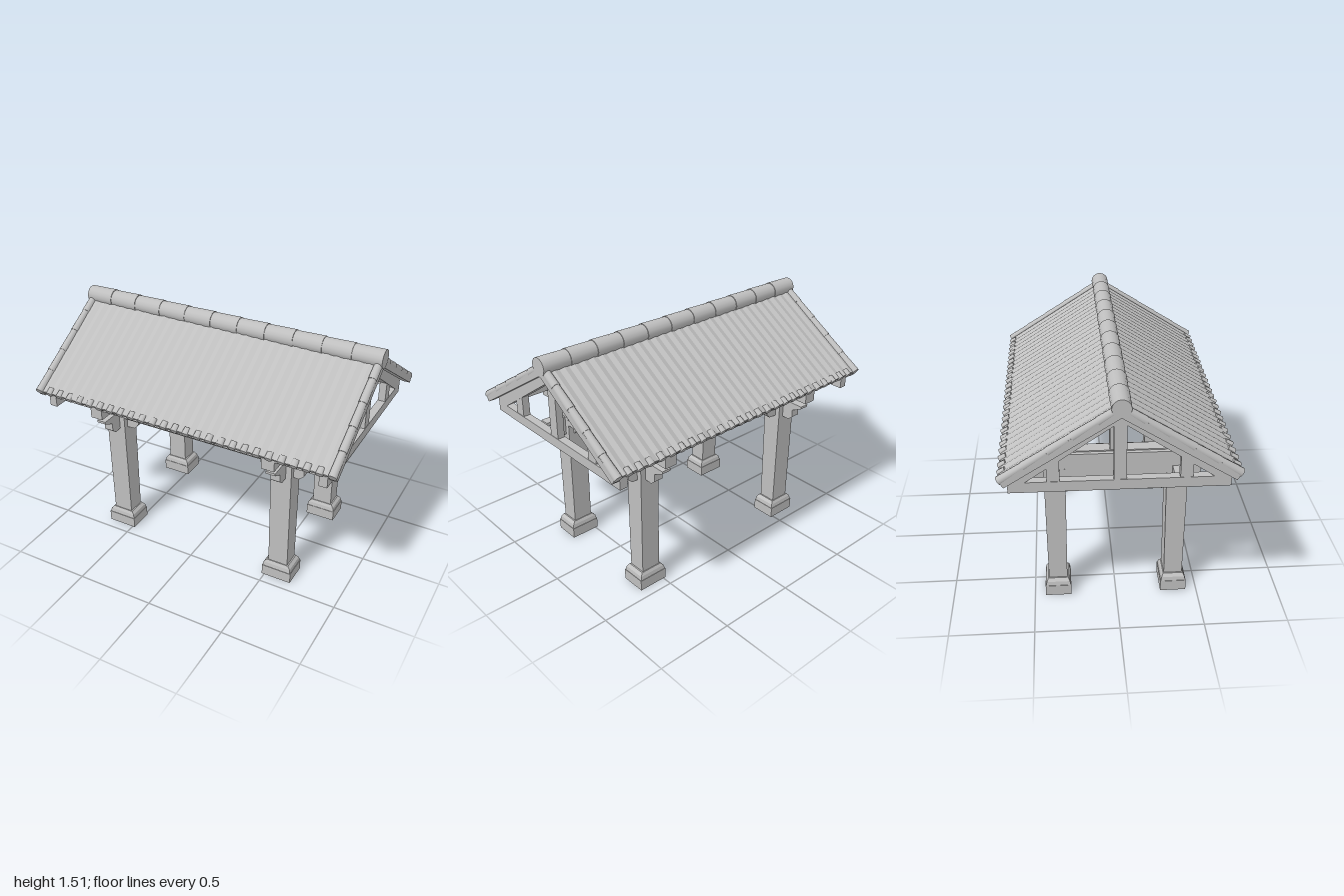
import * as THREE from 'three';

const stone = new THREE.MeshStandardMaterial({ color: 0xbfbfbf });
stone.name = 'pale grey';
const SLOPE = 0.635, ANGLE = Math.atan(SLOPE), APEX = 1.47, RUN = 0.775;

function add(parent, name, geometry, x = 0, y = 0, z = 0) {
  const mesh = new THREE.Mesh(geometry, stone);
  mesh.name = name;
  mesh.position.set(x, y, z);
  parent.add(mesh);
  return mesh;
}

// Box given by its centre in x and z and its bottom and top heights
function block(parent, name, w, d, y0, y1, x = 0, z = 0) {
  return add(parent, name, new THREE.BoxGeometry(w, y1 - y0, d), x, (y0 + y1) / 2, z);
}

// Box whose top face has a different size from its bottom face
function taperedBlock(w0, d0, w1, d1, h) {
  const g = new THREE.BoxGeometry(1, h, 1);
  const p = g.attributes.position;
  for (let i = 0; i < p.count; i++) {
    const top = p.getY(i) > 0;
    p.setXYZ(i, p.getX(i) * (top ? w1 : w0), p.getY(i) + h / 2, p.getZ(i) * (top ? d1 : d0));
  }
  g.computeVertexNormals();
  return g;
}

function extrude(points, depth, centred = true) {
  const g = new THREE.ExtrudeGeometry(new THREE.Shape(points.map(p => new THREE.Vector2(...p))),
    { depth, bevelEnabled: false });
  return centred ? g.translate(0, 0, -depth / 2) : g;
}

// Two-tiered bracket arm, longer on the outward (+x) side
function bracketGeometry(inner, outer, lowerOuter) {
  return extrude([
    [-inner, 0.89], [-inner, 0.81], [-inner + 0.03, 0.775], [lowerOuter - 0.03, 0.765],
    [lowerOuter, 0.79], [lowerOuter, 0.84], [outer - 0.05, 0.85], [outer, 0.875], [outer, 0.89],
  ], 0.06);
}

function column(sx, sz) {
  const g = new THREE.Group();
  g.name = 'column';
  g.position.set(0.58 * sx, 0, 0.355 * sz);
  block(g, 'plinth', 0.194, 0.158, 0, 0.07);
  add(g, 'plinthMoulding', taperedBlock(0.188, 0.152, 0.178, 0.142, 0.025), 0, 0.07);
  add(g, 'plinthCap', taperedBlock(0.178, 0.142, 0.145, 0.122, 0.018), 0, 0.095);
  add(g, 'shaft', taperedBlock(0.128, 0.112, 0.132, 0.126, 0.78), 0, 0.11);
  const armX = add(g, 'sideBracket', bracketGeometry(0.15, 0.2, 0.13));
  armX.rotation.y = sx > 0 ? 0 : Math.PI;
  const armZ = add(g, 'frontBracket', bracketGeometry(0.1, 0.21, 0.14));
  armZ.rotation.y = -sz * Math.PI / 2;
  return g;
}

// Open gable frame: tie beam, king post, queen posts and rafters
function truss(x, width) {
  const g = new THREE.Group();
  g.name = 'truss';
  g.position.x = x;
  block(g, 'tieBeam', width, 1.21, 0.93, 0.992);
  block(g, 'kingPost', width * 0.9, 0.07, 0.99, 1.36);
  for (const s of [-1, 1]) {
    block(g, 'queenPost', width * 0.9, 0.07, 0.99, 1.15, 0, 0.36 * s);
    const r = add(g, 'rafter', extrude([
      [0, 1.415], [0.605, 1.028], [0.605, 0.99], [0.515, 0.99], [0, 1.342],
    ], width));
    r.rotation.y = -s * Math.PI / 2;
  }
  return g;
}

// One roof slope: local z runs down the slope and local y points away from it
function roofSlope() {
  const half = new THREE.Group();
  half.name = 'roofSlope';
  const s = new THREE.Group();
  s.position.y = APEX;
  s.rotation.x = ANGLE;
  half.add(s);

  // Gently corrugated covering
  const profile = [[-0.96, -0.032]];
  const ribs = 30, steps = ribs * 4;
  profile.push([0.96, -0.032]);
  for (let i = 0; i <= steps; i++) {
    profile.push([0.96 - 1.92 * i / steps, -0.014 - 0.004 * Math.cos(i * Math.PI / 2)]);
  }
  add(s, 'roofCovering', extrude(profile, RUN, false));

  // Tile caps along the eave
  for (let i = 0; i < 25; i++) {
    const cap = add(s, 'eaveTile', new THREE.CylinderGeometry(0.02, 0.018, 0.045, 10),
      -0.9 + 0.075 * i, -0.021, RUN - 0.016);
    cap.rotation.x = Math.PI / 2;
    cap.scale.x = 1.15;
  }

  // Verge boards with overlapping round tiles
  for (const sx of [-1, 1]) {
    add(s, 'vergeBoard', new THREE.BoxGeometry(0.046, 0.046, RUN), 0.974 * sx, -0.04, RUN / 2);
    for (let i = 0; i < 5; i++) {
      const tile = add(s, 'vergeTile', new THREE.CylinderGeometry(0.026, 0.023, 0.158, 12),
        0.974 * sx, -0.02, 0.078 + i * 0.1555);
      tile.rotation.x = Math.PI / 2;
    }
  }

  // Round rafter tails below the eave
  for (const x of [0.08, 0.23, 0.43, 0.54, 0.69, 0.91]) {
    for (const sx of [-1, 1]) {
      const tail = add(s, 'rafterTail', new THREE.CylinderGeometry(0.022, 0.022, 0.32, 10),
        x * sx, -0.053, RUN - 0.17);
      tail.rotation.x = Math.PI / 2;
      tail.scale.x = 1.2;
    }
  }
  const middle = add(s, 'rafterTail', new THREE.CylinderGeometry(0.022, 0.022, 0.32, 10), 0, -0.053, RUN - 0.17);
  middle.rotation.x = Math.PI / 2;

  // Purlin under the eave
  block(half, 'eavePurlin', 1.84, 0.07, 0.99, 1.045, 0, 0.565);
  return half;
}

export function createModel() {
  const model = new THREE.Group();
  model.name = 'pavilion';

  for (const sx of [-1, 1]) {
    for (const sz of [-1, 1]) model.add(column(sx, sz));
    block(model, 'crossBeam', 0.12, 0.82, 0.838, 0.985, 0.585 * sx);
    model.add(truss(0.91 * sx, 0.05), truss(0.58 * sx, 0.08));
  }
  for (const sz of [-1, 1]) {
    block(model, 'longBeam', 1.28, 0.09, 0.836, 0.985, 0, 0.355 * sz);
    const slope = roofSlope();
    slope.rotation.y = sz > 0 ? 0 : Math.PI;
    model.add(slope);
  }

  // Ridge of overlapping round tiles
  const count = 11, step = 2 / count;
  for (let i = 0; i < count; i++) {
    const tile = add(model, 'ridgeTile', new THREE.CylinderGeometry(0.053, 0.057, step, 16),
      -1 + step * (i + 0.5), 1.449, 0);
    tile.rotation.z = Math.PI / 2;
  }
  block(model, 'ridgeBeam', 1.9, 0.05, 1.375, 1.43);
  return model;
}
